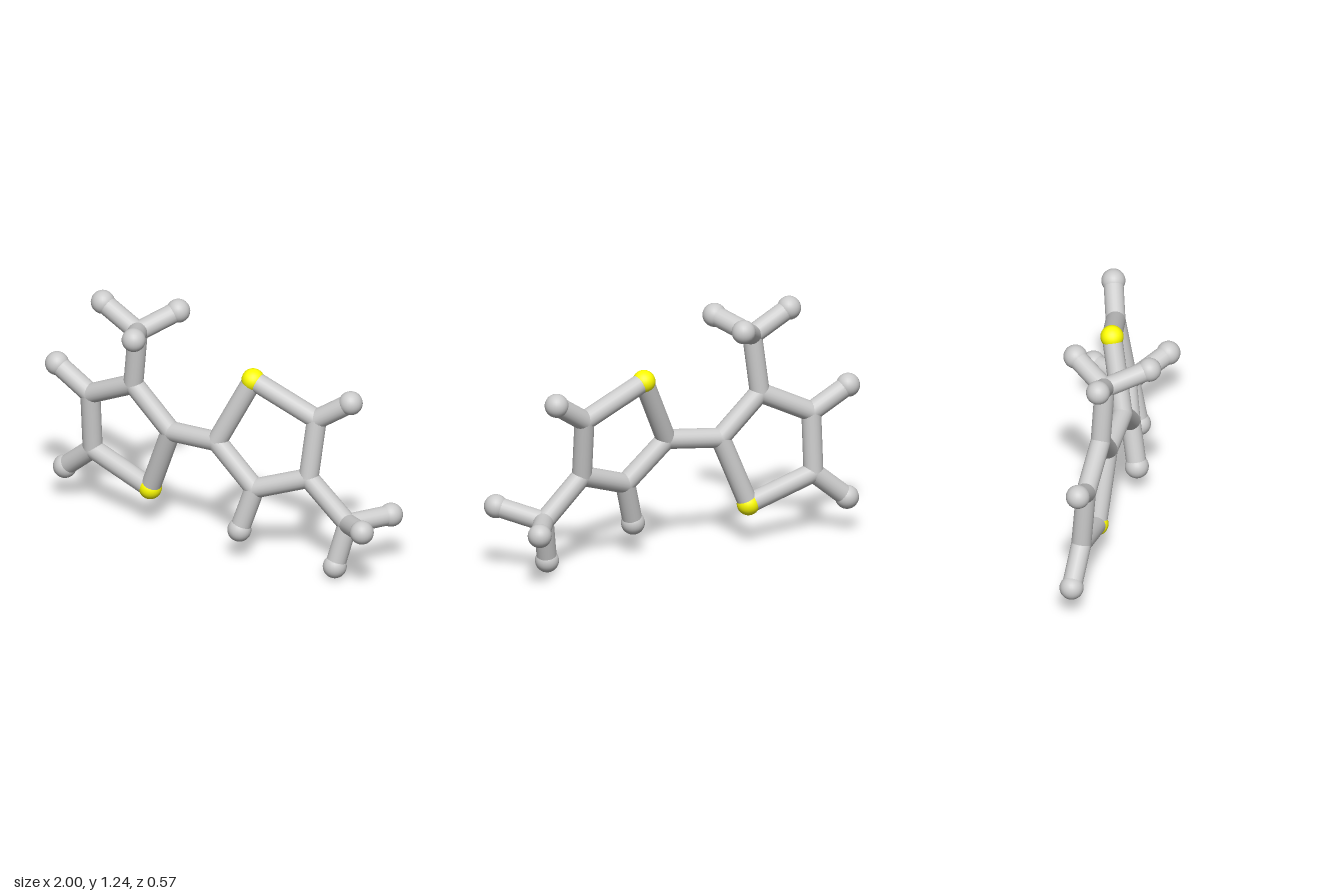
import * as THREE from 'three';

// Atom positions: two five-sided rings joined by a bond, each with a methyl branch
const ATOMS = {
  // left ring
  sulfurL: [-0.39, 0.21, -0.03],
  linkL: [-0.25, 0.565, 0.005],
  branchL: [-0.47, 0.77, 0.0],
  upperL: [-0.74, 0.64, -0.037],
  lowerL: [-0.74, 0.33, -0.06],
  hydrogenL1: [-0.94, 0.753, -0.05],
  hydrogenL2: [-0.915, 0.183, -0.085],
  // left methyl
  methylL: [-0.435, 1.07, 0.015],
  hydrogenL3: [-0.64, 1.182, 0.01],
  hydrogenL4: [-0.335, 1.13, 0.225],
  hydrogenL5: [-0.3, 1.15, -0.15],
  // right ring
  sulfurR: [0.2, 0.935, -0.035],
  linkR: [0.035, 0.59, 0.04],
  lowerR: [0.26, 0.39, 0.05],
  branchR: [0.535, 0.487, -0.01],
  upperR: [0.55, 0.79, -0.065],
  hydrogenR1: [0.725, 0.905, -0.1],
  hydrogenR2: [0.195, 0.165, 0.09],
  // right methyl
  methylR: [0.755, 0.285, -0.02],
  hydrogenR3: [0.71, 0.062, 0.03],
  hydrogenR4: [0.935, 0.345, 0.147],
  hydrogenR5: [0.885, 0.285, -0.222],
};

const BONDS = [
  ['sulfurL', 'linkL'], ['linkL', 'branchL'], ['branchL', 'upperL'],
  ['upperL', 'lowerL'], ['lowerL', 'sulfurL'],
  ['upperL', 'hydrogenL1'], ['lowerL', 'hydrogenL2'], ['branchL', 'methylL'],
  ['methylL', 'hydrogenL3'], ['methylL', 'hydrogenL4'], ['methylL', 'hydrogenL5'],
  ['linkL', 'linkR'],
  ['sulfurR', 'linkR'], ['linkR', 'lowerR'], ['lowerR', 'branchR'],
  ['branchR', 'upperR'], ['upperR', 'sulfurR'],
  ['upperR', 'hydrogenR1'], ['lowerR', 'hydrogenR2'], ['branchR', 'methylR'],
  ['methylR', 'hydrogenR3'], ['methylR', 'hydrogenR4'], ['methylR', 'hydrogenR5'],
];

const BOND_RADIUS = 0.05;

export function createModel() {
  const model = new THREE.Group();
  model.name = 'molecule';
  const grey = new THREE.MeshStandardMaterial({ color: 0xcccccc });
  const yellow = new THREE.MeshStandardMaterial({ color: 0xffff00 });

  // Carbon joints are flush with the bonds; the other atoms bulge slightly
  const ball = (radius) => new THREE.SphereGeometry(radius, 24, 16);
  const carbon = ball(BOND_RADIUS);
  const hydrogen = ball(0.06);
  const sulfur = ball(0.058);

  for (const [name, position] of Object.entries(ATOMS)) {
    const isSulfur = name.startsWith('sulfur');
    const isHydrogen = name.startsWith('hydrogen');
    const geometry = isSulfur ? sulfur : isHydrogen ? hydrogen : carbon;
    const atom = new THREE.Mesh(geometry, isSulfur ? yellow : grey);
    atom.name = isSulfur ? 'sulfurAtom' : isHydrogen ? 'hydrogenAtom' : 'carbonAtom';
    atom.position.set(...position);
    model.add(atom);
  }

  // Bonds: cylinders stretched between atom centres
  const up = new THREE.Vector3(0, 1, 0);
  const rod = new THREE.CylinderGeometry(BOND_RADIUS, BOND_RADIUS, 1, 20, 1, true);
  for (const [from, to] of BONDS) {
    const a = new THREE.Vector3(...ATOMS[from]);
    const b = new THREE.Vector3(...ATOMS[to]);
    const bond = new THREE.Mesh(rod, grey);
    bond.name = 'bond';
    bond.position.copy(a).lerp(b, 0.5);
    bond.scale.y = a.distanceTo(b);
    bond.quaternion.setFromUnitVectors(up, b.sub(a).normalize());
    model.add(bond);
  }
  return model;
}
